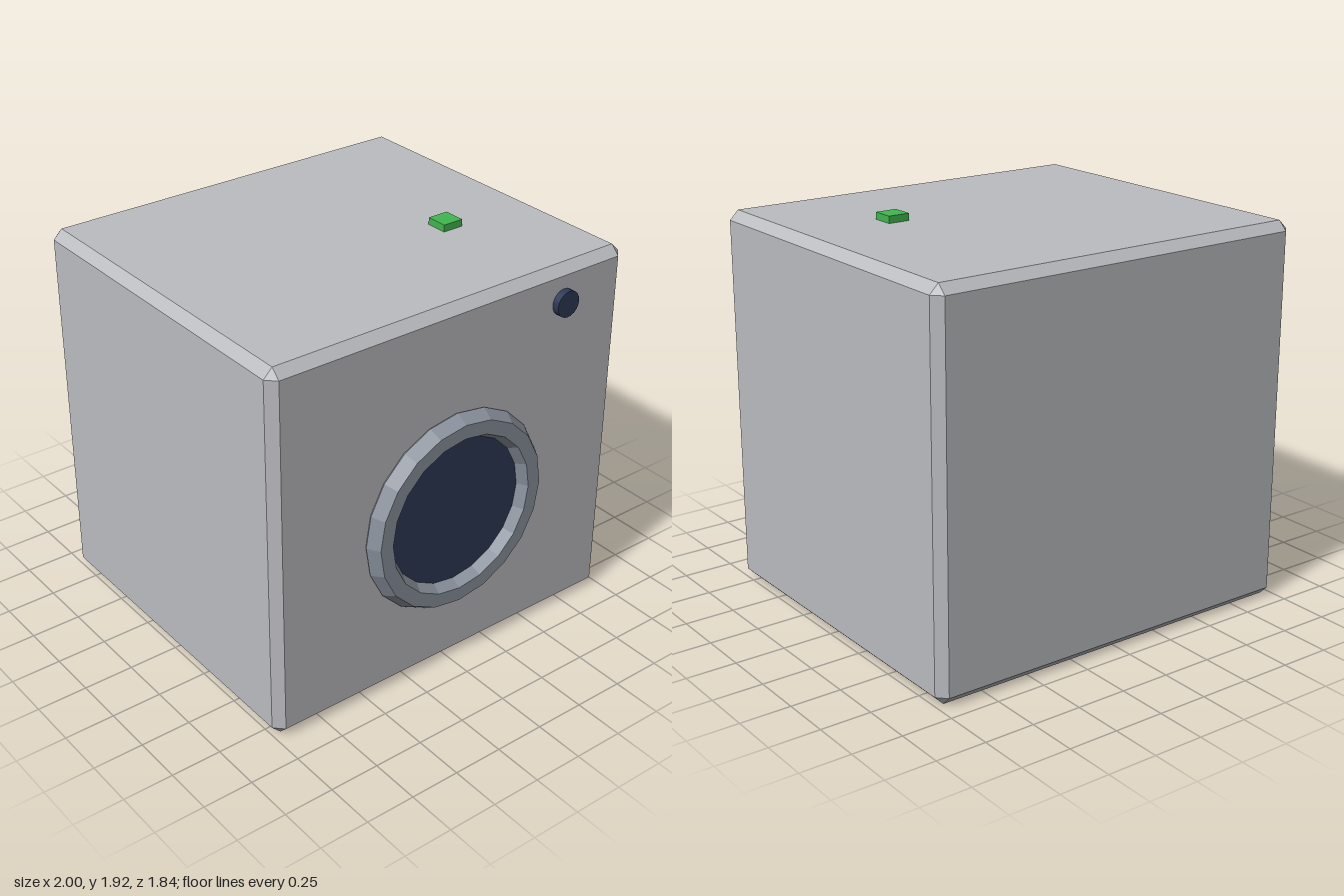
import * as THREE from 'three';
import { ConvexGeometry } from 'three/addons/geometries/ConvexGeometry.js';

const flat = (name, color) => {
  const m = new THREE.MeshStandardMaterial({ color });
  m.name = name;
  return m;
};

// Box whose edges and corners are cut off by c
function chamferBox(w, h, d, c) {
  const half = [w / 2, h / 2, d / 2];
  const points = [];
  for (const sx of [-1, 1]) for (const sy of [-1, 1]) for (const sz of [-1, 1]) {
    for (let face = 0; face < 3; face++) {
      const p = [sx, sy, sz].map((s, i) => s * (half[i] - (i === face ? 0 : c)));
      points.push(new THREE.Vector3(...p));
    }
  }
  return new ConvexGeometry(points);
}

export function createModel() {
  const model = new THREE.Group();
  model.name = 'cubeCamera';

  const bodyGrey = flat('body grey', 0xbbbcc0);
  const ringGrey = flat('ring grey', 0x8b929d);
  const glassBlue = flat('glass blue', 0x2d3956);
  const buttonGreen = flat('button green', 0x40b64f);

  const add = (name, geometry, material, x, y, z) => {
    const mesh = new THREE.Mesh(geometry, material);
    mesh.name = name;
    mesh.position.set(x, y, z);
    model.add(mesh);
    return mesh;
  };

  // Chamfered housing
  add('body', chamferBox(2, 1.89, 1.77, 0.045), bodyGrey, 0, 0.945, -0.035);

  // Faceted ring with a six-sided section, around the lens
  const ring = new THREE.TorusGeometry(0.44, 0.07, 6, 20).toNonIndexed();
  ring.computeVertexNormals();
  add('lensRing', ring, ringGrey, 0, 0.85, 0.86);

  // Forward-facing discs
  const disc = (r, depth, sides) =>
    new THREE.CylinderGeometry(r, r, depth, sides).rotateX(Math.PI / 2);
  add('lens', disc(0.38, 0.04, 48), glassBlue, 0, 0.85, 0.85);
  add('sensor', disc(0.065, 0.07, 20), glassBlue, 0.62, 1.715, 0.85);

  // Button on the top
  add('button', new THREE.BoxGeometry(0.11, 0.07, 0.11), buttonGreen, 0.485, 1.89, 0.185);

  return model;
}
